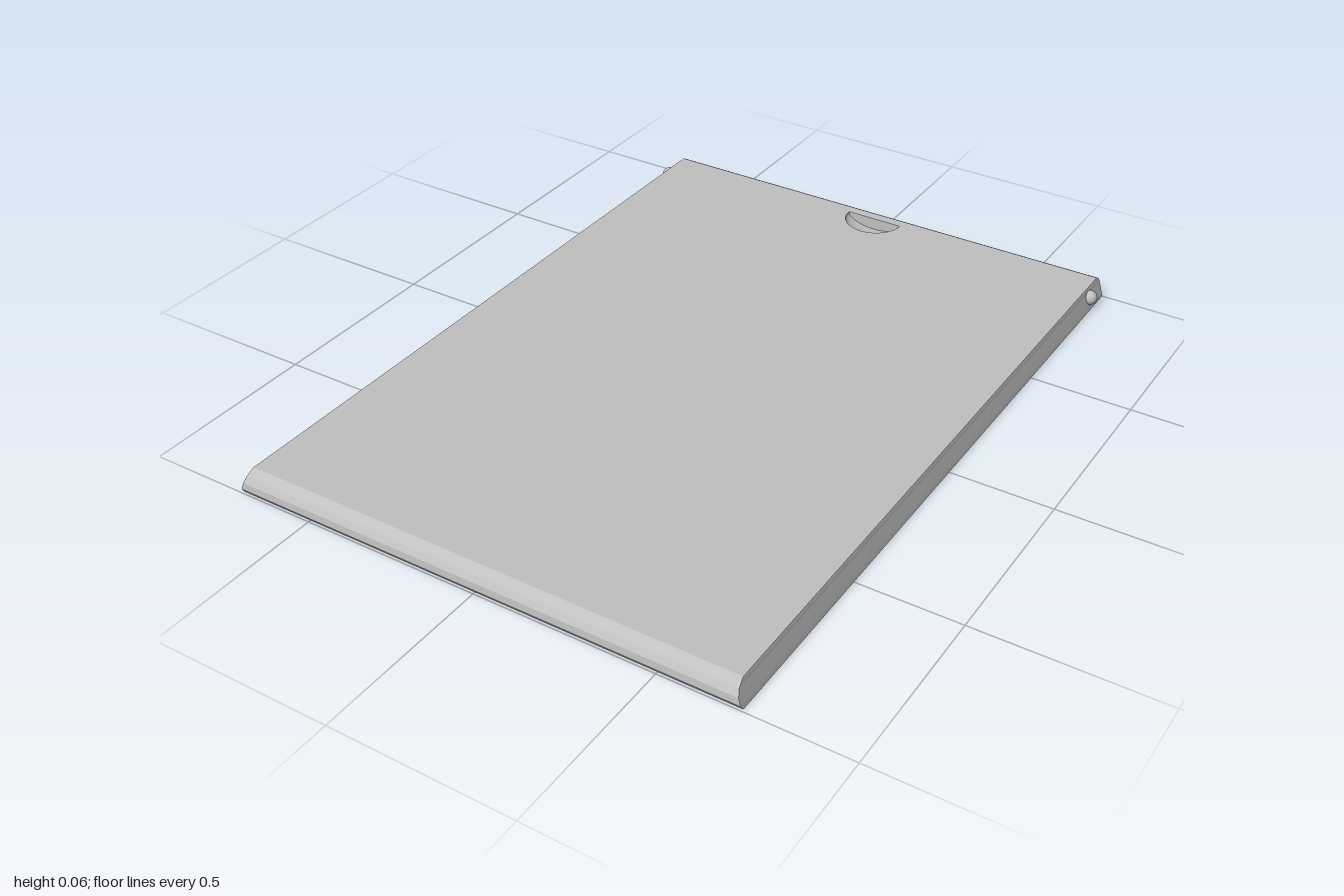
import * as THREE from 'three';

const TOP = 0.063, CEIL = 0.05;          // panel height, pocket depth
const PX = 0.56, PZ = 0.825;             // half size of the honeycomb field
const PITCH = 0.195, HEX_R = 0.094;      // pocket spacing and corner radius

// Flat-shaded geometry from a list of four-corner faces
function quads(list) {
  const pos = [];
  for (const [a, b, c, d] of list) pos.push(...a, ...b, ...c, ...a, ...c, ...d);
  const g = new THREE.BufferGeometry();
  g.setAttribute('position', new THREE.Float32BufferAttribute(pos, 3));
  g.computeVertexNormals();
  return g;
}

// Clips a convex polygon against sign * p[axis] <= limit
function clip(poly, axis, sign, limit) {
  const out = [];
  poly.forEach((a, i) => {
    const b = poly[(i + 1) % poly.length];
    const da = limit - sign * a[axis], db = limit - sign * b[axis];
    if (da >= 0) out.push(a);
    if ((da > 0 && db < 0) || (da < 0 && db > 0)) {
      const t = da / (da - db);
      out.push([a[0] + (b[0] - a[0]) * t, a[1] + (b[1] - a[1]) * t]);
    }
  });
  return out;
}

// Staggered hexagons trimmed to the rectangular field, as [x, z] points
function honeycomb() {
  const cells = [], step = PITCH * Math.sqrt(3) / 2;
  for (let i = -4; i <= 4; i++) {
    for (let j = -6; j <= 6; j++) {
      const cx = i * step, cz = (j + (i % 2 ? 0.5 : 0)) * PITCH;
      let p = [];
      for (let k = 0; k < 6; k++) {
        const a = k * Math.PI / 3;
        p.push([cx + HEX_R * Math.cos(a), cz + HEX_R * Math.sin(a)]);
      }
      p = clip(clip(clip(clip(p, 0, 1, PX), 0, -1, PX), 1, 1, PZ), 1, -1, PZ);
      if (p.length < 3) continue;
      const area = p.reduce((s, a, n) => {
        const b = p[(n + 1) % p.length];
        return s + (a[0] * b[1] - b[0] * a[1]) / 2;
      }, 0);
      if (area > 0.0005) cells.push(p);
    }
  }
  return cells;
}

const toPath = (Type, pts) => new Type(pts.map(p => new THREE.Vector2(p[0], p[1])));

export function createModel() {
  const group = new THREE.Group();
  const grey = new THREE.MeshStandardMaterial({ color: 0xc0c0c0, side: THREE.DoubleSide });
  grey.name = 'light grey';
  const add = (name, geometry, x = 0, y = 0, z = 0) => {
    const m = new THREE.Mesh(geometry, grey);
    m.name = name;
    m.position.set(x, y, z);
    group.add(m);
    return m;
  };

  // Outline rings: height, half width, front z, back z
  const rings = [
    [0, 0.718, 0.993, -1], [0.012, 0.715, 1, -1], [0.032, 0.709, 0.998, -1],
    [0.048, 0.704, 0.988, -1], [0.057, 0.702, 0.976, -0.996], [TOP, 0.70, 0.965, -0.984],
  ].map(([y, x, f, b]) => [[-x, y, b], [x, y, b], [x, y, f], [-x, y, f]]);

  // Sloping sides with eased front and back edges
  const sides = [];
  for (let r = 0; r < rings.length - 1; r++) {
    for (let k = 0; k < 4; k++) {
      const n = (k + 1) % 4;
      sides.push([rings[r][n], rings[r][k], rings[r + 1][k], rings[r + 1][n]]);
    }
  }
  add('panelSides', quads(sides));

  // Top face with a half-round opening for the finger notch
  const NZ = -0.955, NR = 0.086, ND = 0.035;
  const top = toPath(THREE.Shape, rings[rings.length - 1].map(p => [p[0], -p[2]]));
  const rim = [];
  for (let k = 0; k <= 24; k++) {
    const a = Math.PI + k * Math.PI / 24;
    rim.push([NR * Math.cos(a), -NZ + NR * Math.sin(a)]);
  }
  top.holes.push(toPath(THREE.Path, rim));
  add('panelTop', new THREE.ShapeGeometry(top).rotateX(-Math.PI / 2), 0, TOP, 0);

  // Scooped notch and its upright back wall
  const scoop = new THREE.SphereGeometry(1, 24, 10, 0, Math.PI, Math.PI / 2, Math.PI / 2);
  add('notchScoop', scoop.scale(NR, ND, NR), 0, TOP, NZ);
  add('notchWall', new THREE.CircleGeometry(1, 24, Math.PI, Math.PI).scale(NR, ND, 1), 0, TOP, NZ);

  // Underside pierced by the honeycomb
  const cells = honeycomb();
  const bottom = toPath(THREE.Shape, rings[0].map(p => [p[0], p[2]]));
  cells.forEach(c => bottom.holes.push(toPath(THREE.Path, c.map(p => [
    // keeps trimmed cells apart along the field border
    p[0], p[1]]))));
  add('panelUnderside', new THREE.ShapeGeometry(bottom).rotateX(Math.PI / 2));

  // Pocket walls and the shared pocket ceiling
  const walls = [];
  for (const c of cells) {
    c.forEach((a, i) => {
      const b = c[(i + 1) % c.length];
      walls.push([[a[0], 0, a[1]], [b[0], 0, b[1]], [b[0], CEIL, b[1]], [a[0], CEIL, a[1]]]);
    });
  }
  add('pocketWalls', quads(walls));
  add('pocketCeiling', new THREE.PlaneGeometry(2 * PX, 2 * PZ).rotateX(Math.PI / 2), 0, CEIL, 0);

  // Round catch bumps near the back
  for (const [name, s] of [['leftCatch', 1], ['rightCatch', -1]]) {
    add(name, new THREE.SphereGeometry(0.021, 20, 14), s * 0.71, 0.035, -0.918);
  }
  return group;
}
